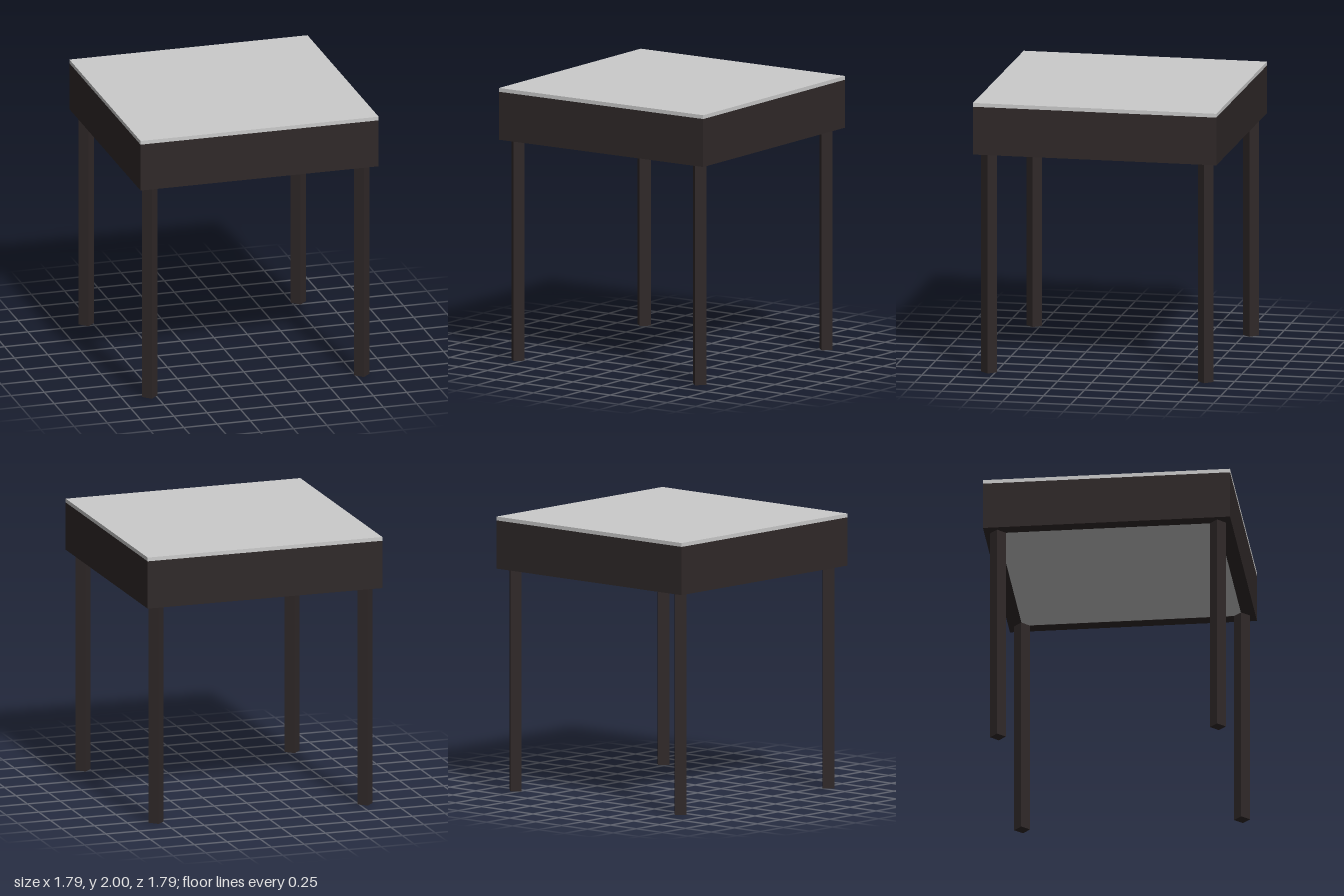
import * as THREE from 'three';

export function createModel() {
  const table = new THREE.Group();
  table.name = 'table';
  const dark = new THREE.MeshStandardMaterial({ color: 0x302929, flatShading: true });
  const grey = new THREE.MeshStandardMaterial({ color: 0xcccccc, flatShading: true });

  const half = 0.895, rim = 0.1, apronBottom = 1.62, apronTop = 1.972;
  const inner = half - rim;

  const add = (name, geometry, material, x, y, z) => {
    const mesh = new THREE.Mesh(geometry, material);
    mesh.name = name;
    mesh.position.set(x, y, z);
    table.add(mesh);
    return mesh;
  };

  // Square outline with corners at +-h
  const square = (Type, h) => new Type([[-h, -h], [h, -h], [h, h], [-h, h]]
    .map(([x, y]) => new THREE.Vector2(x, y)));

  // Thin top sheet
  add('tabletop', new THREE.BoxGeometry(2 * half, 2 - apronTop, 2 * half), grey, 0, (2 + apronTop) / 2, 0);

  // Deep square frame around the edge
  const frame = square(THREE.Shape, half);
  frame.holes.push(square(THREE.Path, inner));
  const apron = new THREE.ExtrudeGeometry(frame, { depth: apronTop - apronBottom, bevelEnabled: false });
  apron.rotateX(-Math.PI / 2);
  add('apron', apron, dark, 0, apronBottom, 0);

  // Panel filling the frame, seen from underneath
  add('undersidePanel', new THREE.BoxGeometry(2 * inner, 0.02, 2 * inner), grey, 0, apronBottom + 0.011, 0);

  // Four-sided legs, set corner-on to the table edges
  const legGeometry = new THREE.CylinderGeometry(0.058, 0.058, apronBottom + 0.01, 4);
  for (const x of [-1, 1]) {
    for (const z of [-1, 1]) {
      const name = (z > 0 ? 'front' : 'back') + (x > 0 ? 'Left' : 'Right') + 'Leg';
      add(name, legGeometry, dark, x * 0.797, (apronBottom + 0.01) / 2, z * 0.797);
    }
  }
  return table;
}
